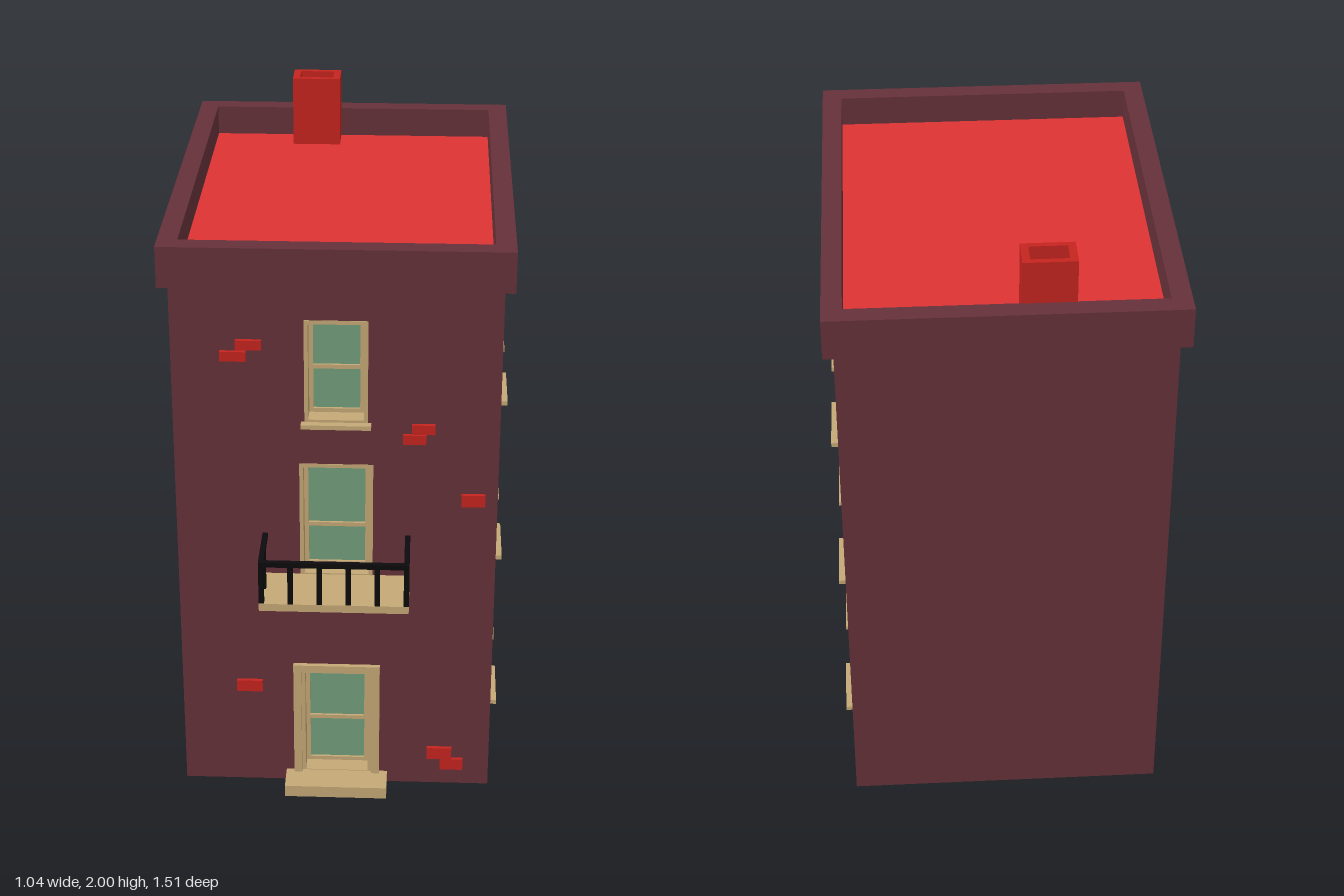
import * as THREE from 'three';

const mat = (color) => new THREE.MeshStandardMaterial({ color });
const wallMat = mat(0x66313a), roofMat = mat(0xdd3333), brickMat = mat(0xc4241f);
const trimMat = mat(0xc4a876), glassMat = mat(0x729c7a), ironMat = mat(0x0c0a0c);

// Box given by its minimum and maximum on each axis
function box(parent, name, material, x0, x1, y0, y1, z0, z1) {
  const mesh = new THREE.Mesh(new THREE.BoxGeometry(x1 - x0, y1 - y0, z1 - z0), material);
  mesh.position.set((x0 + x1) / 2, (y0 + y1) / 2, (z0 + z1) / 2);
  mesh.name = name;
  parent.add(mesh);
  return mesh;
}

function rect(PathType, x0, x1, y0, y1) {
  return new PathType([[x0, y0], [x1, y0], [x1, y1], [x0, y1]].map((p) => new THREE.Vector2(...p)));
}

// Rectangular plate with rectangular holes, extruded from z0 to z1
function plate(parent, name, material, outer, holes, z0, z1) {
  const shape = rect(THREE.Shape, ...outer);
  shape.holes = holes.map((h) => rect(THREE.Path, ...h));
  const geo = new THREE.ExtrudeGeometry(shape, { depth: z1 - z0, bevelEnabled: false });
  geo.translate(0, 0, z0);
  const mesh = new THREE.Mesh(geo, material);
  mesh.name = name;
  parent.add(mesh);
  return mesh;
}

const inset = ([x0, x1, y0, y1], d) => [x0 + d, x1 - d, y0 + d, y1 - d];

// Double-hung window in an opening; the wall face lies at local z = 0
function addWindow(parent, name, hole, railY, sill) {
  const g = new THREE.Group();
  g.name = name;
  const inner = inset(hole, 0.012);
  const [x0, x1, y0, y1] = inner;
  plate(g, 'windowFrame', trimMat, hole, [inner], -0.08, 0.002);
  const sashes = [
    ['upperSash', [x0, x1, railY - 0.007, y1], -0.045],
    ['lowerSash', [x0, x1, y0, railY + 0.007], -0.06],
  ];
  for (const [sashName, r, z] of sashes) {
    const pane = inset(r, 0.013);
    plate(g, sashName, trimMat, r, [pane], z - 0.008, z + 0.008);
    box(g, 'glass', glassMat, ...pane, z - 0.004, z);
  }
  if (sill) box(g, 'sill', trimMat, hole[0] - 0.01, hole[1] + 0.01, hole[2] - 0.01, hole[2] + 0.004, -0.06, 0.025);
  parent.add(g);
}

export function createModel() {
  const model = new THREE.Group();
  const W = 0.49, FRONT = 0.57, BACK = -0.72, TOP = 1.74, T = 0.08;

  // Walls: solid core with pierced front and side panels
  const walls = new THREE.Group();
  walls.name = 'walls';
  model.add(walls);
  box(walls, 'core', wallMat, -W, W - T, 0, TOP, BACK, FRONT - T);

  const front = new THREE.Group();
  front.name = 'frontWall';
  front.position.z = FRONT;
  const topWindow = [-0.095, 0.095, 1.3, 1.635];
  const balconyDoor = [-0.112, 0.112, 0.77, 1.163];
  const doorHole = [-0.112, 0.112, 0.03, 0.425];
  plate(front, 'frontPanel', wallMat, [-W, W, 0, TOP], [topWindow, balconyDoor, doorHole], -T, 0);
  addWindow(front, 'topWindow', topWindow, 1.47, true);
  addWindow(front, 'balconyDoor', balconyDoor, 0.935, false);
  addWindow(front, 'entranceDoor', doorHole, 0.222, false);
  plate(front, 'doorSurround', trimMat, [-0.137, 0.137, 0, 0.448], [[-0.112, 0.112, 0.03, 0.425]], -0.01, 0.015);
  box(front, 'doorStep', trimMat, -0.163, 0.163, 0, 0.04, -0.01, 0.095);
  walls.add(front);

  // Side wall: three rows of three windows (local x runs towards the back)
  const side = new THREE.Group();
  side.name = 'leftWall';
  side.position.x = W;
  side.rotation.y = Math.PI / 2;
  const holes = [];
  for (const y of [0.217, 0.764, 1.305])
    for (const x of [-0.312, 0.08, 0.47]) holes.push([x - 0.094, x + 0.094, y, y + 0.33]);
  plate(side, 'sidePanel', wallMat, [-(FRONT - T), -BACK, 0, TOP], holes, -T, 0);
  for (const h of holes) addWindow(side, 'sideWindow', h, h[2] + 0.172, true);
  walls.add(side);

  // Parapet ring and sunken roof
  const parapet = plate(model, 'parapet', wallMat, [-0.52, 0.52, -0.595, 0.755],
    [[-0.46, 0.46, -0.535, 0.695]], TOP, 1.867);
  parapet.rotation.x = -Math.PI / 2;
  box(model, 'roof', roofMat, -0.46, 0.46, TOP, 1.772, -0.695, 0.535);

  // Hollow chimney
  const chimney = plate(model, 'chimney', brickMat, [-0.197, -0.04, 0.595, 0.697],
    [[-0.174, -0.063, 0.613, 0.679]], 1.77, 2);
  chimney.rotation.x = -Math.PI / 2;
  box(model, 'chimneyFloor', brickMat, -0.174, -0.063, 1.77, 1.9, -0.679, -0.613);

  // Balcony: slab, posts and handrails
  const balcony = new THREE.Group();
  balcony.name = 'balcony';
  model.add(balcony);
  const R = 0.008, railX = 0.219, railZ = 0.746;
  box(balcony, 'balconySlab', trimMat, -0.227, 0.227, 0.753, 0.778, FRONT - 0.01, 0.755);
  const post = (x, z) => box(balcony, 'railingPost', ironMat, x - R, x + R, 0.778, 0.91, z - R, z + R);
  for (let i = 0; i < 6; i++) post(-railX + (i * 2 * railX) / 5, railZ);
  box(balcony, 'frontHandrail', ironMat, -railX - R, railX + R, 0.905, 0.921, railZ - R, railZ + R);
  for (const s of [-1, 1]) {
    post(s * railX, 0.66);
    box(balcony, 'sideHandrail', ironMat, s * railX - R, s * railX + R, 0.905, 0.921, FRONT, railZ - R);
  }

  // Loose bricks standing proud of the front: x, y of the lower corner, width, height
  const bricks = [
    [-0.297, 1.54, 0.077, 0.031], [-0.344, 1.503, 0.078, 0.031],
    [0.227, 1.273, 0.07, 0.031], [0.2, 1.239, 0.07, 0.031],
    [0.38, 1.03, 0.072, 0.04], [-0.317, 0.345, 0.082, 0.04],
    [0.29, 0.1, 0.08, 0.042], [0.333, 0.06, 0.074, 0.04],
  ];
  for (const [x, y, w, h] of bricks)
    box(model, 'exposedBrick', brickMat, x, x + w, y, y + h, FRONT - 0.01, FRONT + 0.012);

  return model;
}
